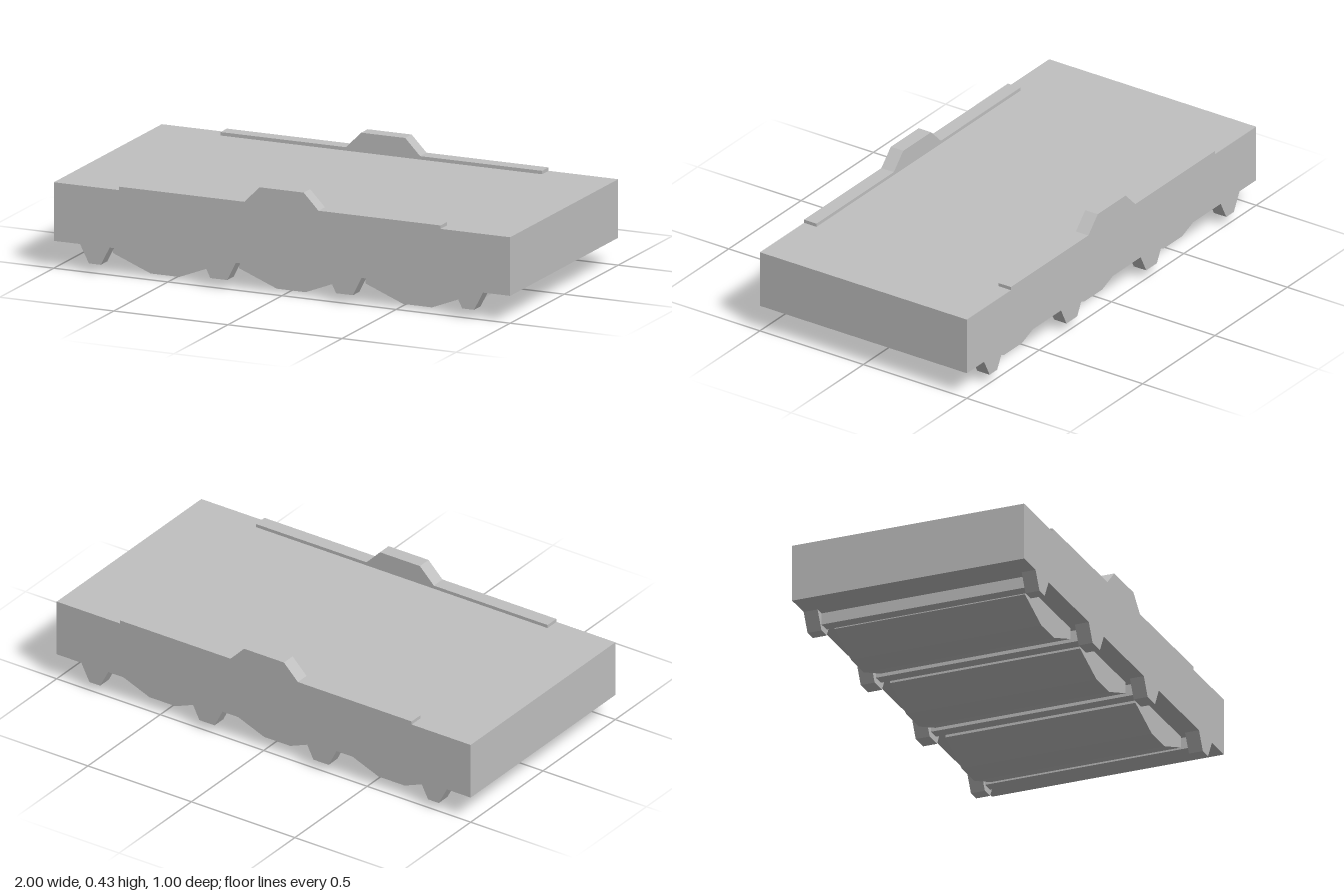
import * as THREE from 'three';

export function createModel() {
  const model = new THREE.Group();
  const grey = new THREE.MeshStandardMaterial({ color: 0xc0c0c0 });
  grey.name = 'light grey';

  function add(name, geometry, x = 0, y = 0, z = 0) {
    const mesh = new THREE.Mesh(geometry, grey);
    mesh.name = name;
    mesh.position.set(x, y, z);
    model.add(mesh);
  }

  // Extrudes an x-y outline along z, centred on z = 0
  function prism(points, depth) {
    const shape = new THREE.Shape(points.map(([x, y]) => new THREE.Vector2(x, y)));
    return new THREE.ExtrudeGeometry(shape, { depth, bevelEnabled: false }).translate(0, 0, -depth / 2);
  }

  // Main slab
  add('slab', new THREE.BoxGeometry(2, 0.24, 1), 0, 0.232, 0);

  // Edge rails with a raised middle, and the feet below them
  const rail = prism([
    [-0.715, 0.352], [0.695, 0.352], [0.695, 0.366], [0.16, 0.366],
    [0.095, 0.433], [-0.098, 0.433], [-0.165, 0.366], [-0.715, 0.366],
  ], 0.06);
  const outerFoot = prism([[-0.065, 0.112], [-0.026, 0.037], [0.026, 0.037], [0.065, 0.112]], 0.06);
  const innerFoot = prism([[-0.075, 0.112], [-0.037, 0.037], [0.037, 0.037], [0.075, 0.112]], 0.06);
  const footX = [-0.82, -0.277, 0.274, 0.816];
  for (const z of [-0.47, 0.47]) {
    add('edgeRail', rail, 0, 0, z);
    footX.forEach((x, i) => add('foot', i % 3 ? innerFoot : outerFoot, x, 0, z));
  }

  // Cross bars joining opposite feet
  const bar = new THREE.BoxGeometry(0.05, 0.049, 0.88);
  for (const x of footX) add('crossBar', bar, x, 0.0875, 0);

  // Three faceted bellies between the bars
  const belly = prism([
    [-0.228, 0.112], [-0.228, 0.065], [-0.063, 0], [0.063, 0], [0.228, 0.065], [0.228, 0.112],
  ], 0.82);
  for (const x of [-0.555, -0.002, 0.552]) add('belly', belly, x, 0, 0);

  return model;
}
